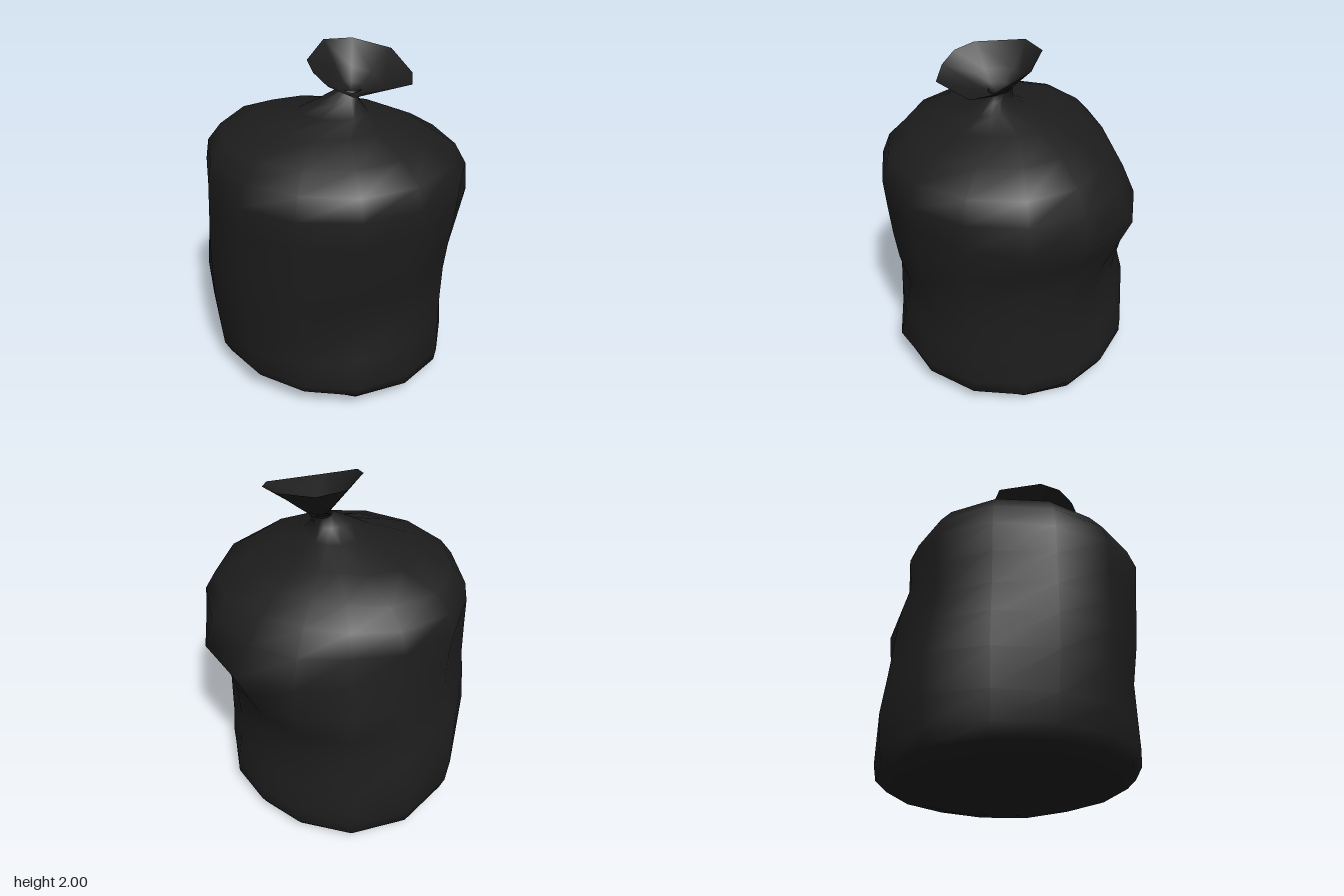
import * as THREE from 'three';
import { mergeVertices } from 'three/addons/utils/BufferGeometryUtils.js';

const SIDES = 14;
const TURN = -11 * Math.PI / 180;

// Skin a stack of closed rings (listed from bottom to top) with smooth normals.
function loft(rings) {
  const n = rings[0].length;
  const index = [];
  for (let i = 0; i < rings.length - 1; i++) {
    for (let j = 0; j < n; j++) {
      const a = i * n + j, b = i * n + (j + 1) % n;
      index.push(a, a + n, b, b, a + n, b + n);
    }
  }
  let g = new THREE.BufferGeometry().setFromPoints(rings.flat());
  g.setIndex(index);
  g = mergeVertices(g, 1e-5);
  g.computeVertexNormals();
  return g;
}

// Smoothly blend eight radii (+x, then every 45 degrees towards +z) at any angle.
function radiusAt(radii, angle) {
  const f = angle / (Math.PI / 4), k = Math.floor(f), t = f - k;
  const [a, b, c, d] = [-1, 0, 1, 2].map(o => radii[(k + o + 8) % 8]);
  return b + 0.5 * t * (c - a + t * (2 * a - 5 * b + 4 * c - d + t * (3 * (b - c) + d - a)));
}

// One cross-section of the sack
function ring(y, radii, cx = 0, cz = 0) {
  return Array.from({ length: SIDES }, (_, j) => {
    const a = TURN + j * 2 * Math.PI / SIDES;
    const radius = radiusAt(radii, a);
    const x = cx + radius * Math.cos(a), z = cz + radius * Math.sin(a);
    // The underside lifts a little towards the front and right
    const lift = Math.max(0, 1 - y / 0.3) * Math.max(0, 0.02 + 0.045 * (z - x));
    return new THREE.Vector3(x, y + lift, z);
  });
}

export function createModel() {
  const group = new THREE.Group();
  const black = new THREE.MeshStandardMaterial({ color: 0x1d1d1d, side: THREE.DoubleSide });
  black.name = 'black plastic';
  const add = (name, geometry) => {
    const mesh = new THREE.Mesh(geometry, black);
    mesh.name = name;
    group.add(mesh);
  };

  // Sagging, dented sack: height, then eight radii
  const body = [
    [0.00, 0.46, 0.48, 0.42, 0.38, 0.38, 0.52, 0.56, 0.50],
    [0.02, 0.62, 0.60, 0.65, 0.57, 0.63, 0.67, 0.69, 0.62],
    [0.08, 0.66, 0.69, 0.70, 0.68, 0.715, 0.77, 0.755, 0.655],
    [0.17, 0.66, 0.705, 0.74, 0.73, 0.75, 0.80, 0.77, 0.65],
    [0.35, 0.64, 0.70, 0.70, 0.745, 0.765, 0.82, 0.765, 0.61],
    [0.57, 0.63, 0.70, 0.655, 0.76, 0.785, 0.815, 0.705, 0.565],
    [0.77, 0.63, 0.71, 0.71, 0.765, 0.785, 0.77, 0.715, 0.62],
    [0.94, 0.665, 0.73, 0.735, 0.77, 0.78, 0.73, 0.725, 0.70],
    [1.13, 0.775, 0.75, 0.755, 0.77, 0.77, 0.73, 0.625, 0.765],
    [1.30, 0.74, 0.77, 0.77, 0.78, 0.76, 0.75, 0.62, 0.66],
    [1.42, 0.665, 0.715, 0.73, 0.73, 0.745, 0.71, 0.56, 0.55],
    [1.52, 0.50, 0.57, 0.61, 0.64, 0.67, 0.62, 0.44, 0.42],
    [1.60, 0.31, 0.36, 0.41, 0.46, 0.50, 0.41, 0.26, 0.27]
  ].map(([y, ...radii]) => ring(y, radii));

  // Gathered shoulders and neck, off centre, with a fold running down the right
  const neck = [
    ring(1.66, [0.09, 0.13, 0.17, 0.22, 0.29, 0.22, 0.16, 0.10], 0.05, 0.10),
    ring(1.72, [0.05, 0.06, 0.08, 0.10, 0.18, 0.11, 0.085, 0.06], 0.05, 0.11),
    ring(1.78, [0.065, 0.06, 0.055, 0.05, 0.065, 0.07, 0.08, 0.065], 0.06, 0.11)
  ];
  const base = body[0].map(() => new THREE.Vector3(0.03, 0, -0.06));
  add('sack', loft([base, ...body, ...neck]));

  // Flared mouth above the neck: tilted rim, lowest at the front
  const rim = [
    [0.365, 1.89, 0.25], [0.33, 1.865, 0.36], [0.0, 1.847, 0.44], [-0.12, 1.89, 0.37],
    [-0.18, 1.94, 0.28], [-0.19, 1.97, 0.16], [-0.05, 2.0, -0.09], [0.12, 1.99, -0.12], [0.31, 1.96, 0.02]
  ].map(p => new THREE.Vector3(...p));
  const throat = new THREE.Vector3(0.06, 1.765, 0.12);
  const flare = (spread, rise) => rim.map(p => new THREE.Vector3(
    throat.x + (p.x - throat.x) * spread,
    throat.y + (p.y - throat.y) * rise,
    throat.z + (p.z - throat.z) * spread));
  add('mouth', loft([flare(0, 0), flare(0.3, 0.13), flare(0.54, 0.42), rim]));

  return group;
}
